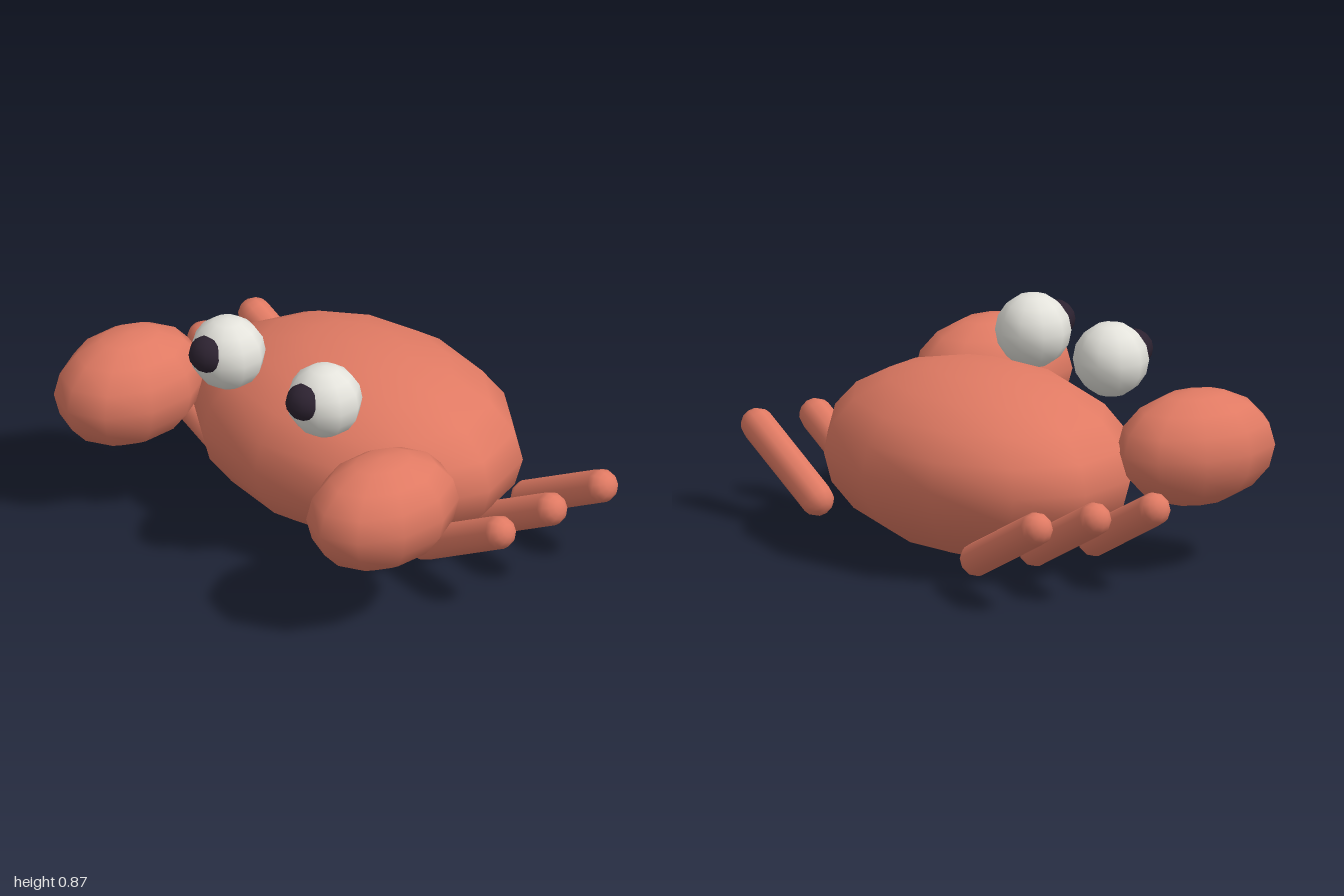
import * as THREE from 'three';

const shellRed = new THREE.MeshStandardMaterial({ color: 0xe07a63 });
shellRed.name = 'shellRed';
const eyeWhite = new THREE.MeshStandardMaterial({ color: 0xe4e3dc });
eyeWhite.name = 'eyeWhite';
const pupilDark = new THREE.MeshStandardMaterial({ color: 0x2c2230 });
pupilDark.name = 'pupilDark';

export function createModel() {
  const crab = new THREE.Group();
  crab.name = 'crab';

  // Smooth low-poly ellipsoid, turned so that a vertex column points forward
  const ellipsoid = (name, material, [rx, ry, rz], [x, y, z], across = 10, rows = 8) => {
    const geometry = new THREE.SphereGeometry(1, across, rows).rotateY(Math.PI / 2).scale(rx, ry, rz);
    const mesh = new THREE.Mesh(geometry, material);
    mesh.name = name;
    mesh.position.set(x, y, z);
    crab.add(mesh);
  };

  // Rounded leg running from an inner foot point to an outer tip
  const leg = (name, from, to, radius) => {
    const axis = to.clone().sub(from);
    const mesh = new THREE.Mesh(new THREE.CapsuleGeometry(radius, axis.length(), 4, 10), shellRed);
    mesh.name = name;
    mesh.position.copy(from).add(to).multiplyScalar(0.5);
    mesh.quaternion.setFromUnitVectors(new THREE.Vector3(0, 1, 0), axis.normalize());
    crab.add(mesh);
  };

  // Shell
  ellipsoid('body', shellRed, [0.72, 0.358, 0.53], [0, 0.36, -0.16], 12, 10);

  for (const [side, s] of [['left', 1], ['right', -1]]) {
    // Claw and eye
    ellipsoid(`${side}Claw`, shellRed, [0.236, 0.221, 0.327], [s * 0.683, 0.468, 0.362]);
    ellipsoid(`${side}Eye`, eyeWhite, [0.145, 0.143, 0.143], [s * 0.262, 0.731, 0.26]);
    ellipsoid(`${side}Pupil`, pupilDark, [0.075, 0.072, 0.072], [s * 0.262, 0.76, 0.363]);

    // Three legs
    [0, -0.267, -0.531].forEach((z, i) => {
      leg(`${side}Leg${i + 1}`, new THREE.Vector3(s * 0.539, 0.13, z), new THREE.Vector3(s * 0.936, 0.331, z), 0.065);
    });
  }
  return crab;
}
